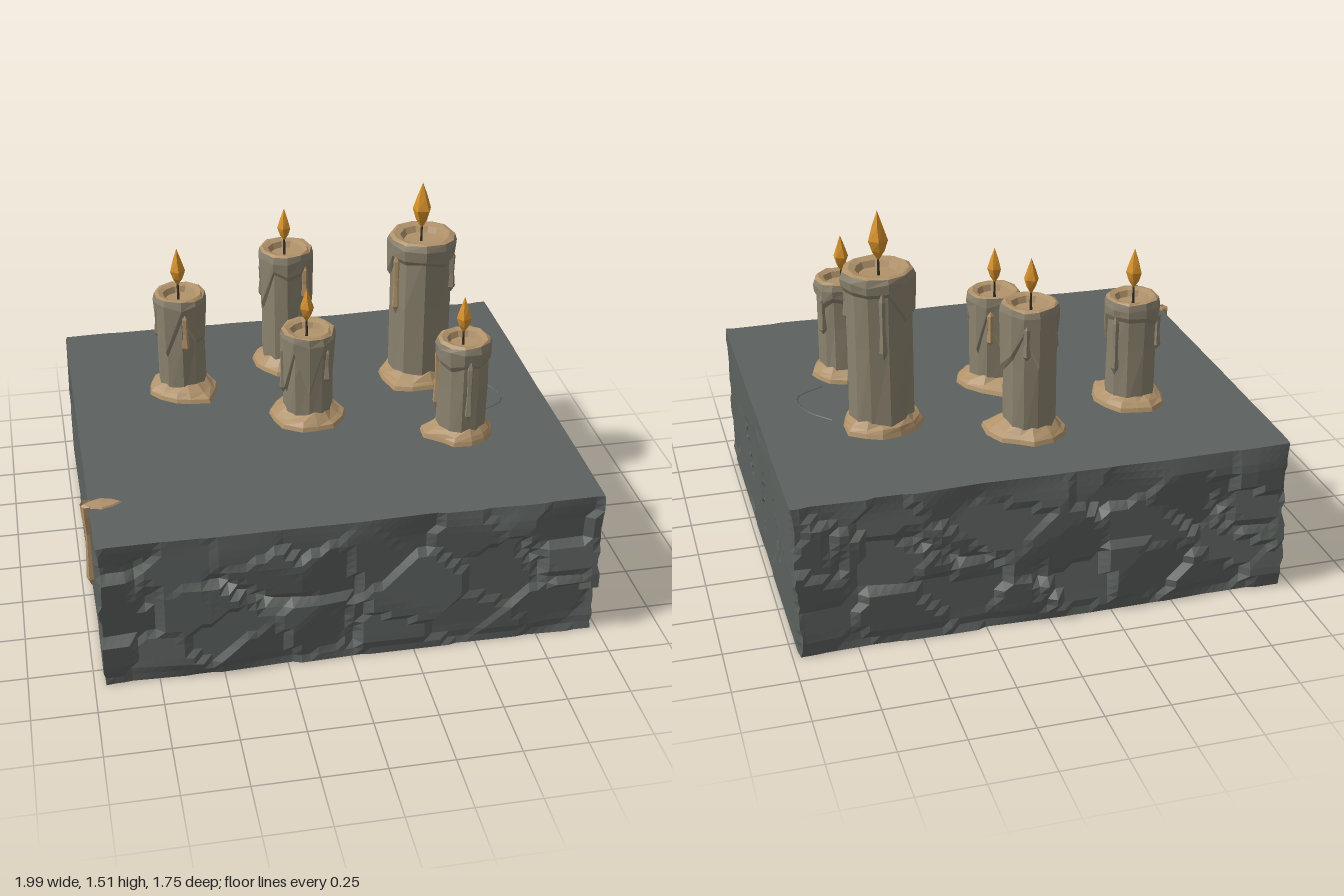
import * as THREE from 'three';

const mat = (name, color, side = THREE.FrontSide) =>
  Object.assign(new THREE.MeshStandardMaterial({ color, flatShading: true, side }), { name });

// repeatable pseudo-random value in 0..1
const hash = (a, b = 0, c = 0) => {
  const s = Math.sin(a * 127.1 + b * 311.7 + c * 74.7) * 43758.5453;
  return s - Math.floor(s);
};

// closed skin through rows of n points; point(i, j) returns [angle offset, radius, y]
function loft(n, rows, point) {
  const pos = [], idx = [];
  for (let j = 0; j < rows; j++) for (let i = 0; i < n; i++) {
    const [da, r, y] = point(i, j);
    const a = (i / n) * Math.PI * 2 + da;
    pos.push(Math.cos(a) * r, y, Math.sin(a) * r);
    if (j === rows - 1) continue;
    const k = (i + 1) % n, p = j * n + i, q = j * n + k;
    idx.push(p, p + n, q, q, p + n, q + n);
  }
  const g = new THREE.BufferGeometry();
  g.setAttribute('position', new THREE.Float32BufferAttribute(pos, 3));
  g.setIndex(idx);
  g.computeVertexNormals();
  return g;
}

// broken rock relief: every irregular cell is its own tilted plane
function chipped(u, v, seed, size) {
  let best = 9, h = 0;
  const cu = Math.floor(u / size), cv = Math.floor(v / size);
  for (let i = cu - 1; i <= cu + 1; i++) for (let j = cv - 1; j <= cv + 1; j++) {
    const du = u - (i + hash(i, j, seed)) * size, dv = v - (j + hash(j, i, seed + 3)) * size;
    const d = du * du + dv * dv * 1.4;
    if (d < best) {
      best = d;
      h = (hash(i, j, seed + 5) - 0.5) * 0.03 + du * (hash(i, j, seed + 7) - 0.5) * 0.3
        + dv * (hash(i, j, seed + 9) - 0.5) * 0.3;
    }
  }
  return h;
}

// distance from (u, v) to a segment
function segDist(u, v, [a, b, c, d]) {
  const t = THREE.MathUtils.clamp(((u - a) * (c - a) + (v - b) * (d - b)) / ((c - a) ** 2 + (d - b) ** 2), 0, 1);
  return Math.hypot(u - a - t * (c - a), v - b - t * (d - b));
}

function stoneGeometry() {
  const H = 0.63, hx = 0.975, hz = 0.85;
  const g = new THREE.BoxGeometry(hx * 2, H, hz * 2, 56, 20, 48);
  const p = g.attributes.position;
  // chisel scars on the smooth sides: z, y to z, y
  const scars = [[0.27, 0.44, 0.14, 0.27], [-0.46, 0.44, -0.52, 0.26], [-0.17, 0.4, -0.11, 0.24],
    [-0.11, 0.24, -0.11, 0.17], [0.38, 0.08, 0.16, 0.09]];
  // chisel scars on the rough faces: x, y to x, y
  const gouges = [[-0.55, 0.45, -0.35, 0.32], [-0.35, 0.32, -0.18, 0.3], [-0.05, 0.26, 0.0, 0.06],
    [0.65, 0.45, 0.75, 0.3], [0.75, 0.28, 0.9, 0.27], [-0.85, 0.55, -0.8, 0.35]];
  for (let i = 0; i < p.count; i++) {
    const x = p.getX(i), y = p.getY(i) + H / 2, z = p.getZ(i);
    const sx = Math.sign(x), sz = Math.sign(z);
    const fade = Math.min(1, 0.3 + Math.min(y, H - y) * 9);
    let nx = x, nz = z;
    if (Math.abs(z) > hz - 1e-4) {
      let d = 0.004 + chipped(x, y, sz > 0 ? 11 : 29, 0.24) * 1.1;
      for (const s of gouges) d -= Math.max(0, 0.025 - segDist(x * sz, y, s));
      nz += sz * THREE.MathUtils.clamp(d, -0.04, 0.025) * fade;
    }
    if (Math.abs(x) > hx - 1e-4) {
      let d = chipped(z, y, sx > 0 ? 41 : 53, 0.5) * 0.12;
      for (const s of scars) d -= Math.max(0, 0.02 - segDist(z * sx, y, s));
      if (Math.abs(z) > hz - 1e-4) d -= hash(Math.round(y * 12), sx, sz) * 0.02;
      nx += sx * d * fade;
    }
    // slight narrowing toward the ground
    const k = y < 0.06 ? 0.992 : 1;
    p.setXYZ(i, nx * k + 0.01, y, nz * k);
  }
  g.computeVertexNormals();
  return g;
}

export function createModel() {
  const root = new THREE.Group();
  const stone = mat('stone grey', 0x5c615e);
  const wax = mat('candle wax', 0x8c836f, THREE.DoubleSide);
  const melted = mat('melted wax', 0xb0926a, THREE.DoubleSide);
  const fire = mat('flame orange', 0xd8922b);
  const char = mat('wick', 0x3a3128);
  const add = (parent, name, geo, m) => {
    const mesh = new THREE.Mesh(geo, m);
    mesh.name = name;
    parent.add(mesh);
    return mesh;
  };

  add(root, 'stoneSlab', stoneGeometry(), stone);

  // hairline crack on the slab top
  const crack = new THREE.CatmullRomCurve3([[0.7, -0.18], [0.78, -0.08], [0.8, 0.06], [0.68, 0.14]]
    .map(([x, z]) => new THREE.Vector3(x, 0.629, z)));
  add(root, 'topCrack', new THREE.TubeGeometry(crack, 10, 0.004, 4), stone);

  const N = 11, base = 0.625;
  // x, z, body radius, top y, flame bottom, flame height, puddle radius, lobe angle
  const candles = [
    [-0.5, -0.3, 0.1, 1.08, 1.11, 0.165, 0.15, 1.0],
    [-0.025, -0.465, 0.104, 1.17, 1.2, 0.145, 0.155, 0.4],
    [0.515, -0.245, 0.13, 1.285, 1.31, 0.2, 0.168, 2.2],
    [-0.02, 0.025, 0.102, 1.03, 1.06, 0.15, 0.155, 4.6],
    [0.565, 0.27, 0.1, 1.06, 1.08, 0.155, 0.135, 3.14],
  ];
  candles.forEach(([x, z, r, top, fy, fh, pr, lobe], c) => {
    const g = new THREE.Group();
    g.name = 'candle' + (c + 1);
    g.position.set(x, base, z);
    root.add(g);
    const h = top - base;
    const wob = (i, s) => hash(i, c + 1, s) - 0.5;

    // shaft
    add(g, 'candleBody', loft(N, 3, (i, j) =>
      [wob(i, 1) * 0.2, r * (1 + wob(i, 2 + j) * 0.08), [0, h * 0.55, h - 0.03][j]]), wax);

    // overflowing skin round the top with ragged lower edge
    add(g, 'waxCollar', loft(N, 4, (i, j) => {
      const long = hash(i, c, 21) > 0.68 ? 0.1 + hash(i, c, 22) * 0.12 : 0.02;
      const low = h - 0.06 - long - hash(i, c, 23) * 0.04;
      return [wob(i, 1) * 0.2, r * [0.98, 1.1, 1.13 + wob(i, 25) * 0.06, 1.06][j],
        [low, low + 0.025, h - 0.03 + wob(i, 24) * 0.02, h - 0.004 + wob(i, 26) * 0.012][j]];
    }), wax);

    // rim and sunken pool
    add(g, 'meltedRim', loft(N, 5, (i, j) =>
      [wob(i, 1) * 0.2, r * [1.06, 0.92, 0.7, 0.6, 0.001][j] * (j && j < 4 ? 1 + wob(i, 31) * 0.12 : 1),
        h + [-0.004 + wob(i, 26) * 0.012, 0.002, -0.006, -0.03, -0.034][j]]), melted);

    // spread wax at the foot
    add(g, 'waxPuddle', loft(N + 2, 4, (i, j) => {
      const a = (i / (N + 2)) * Math.PI * 2;
      const out = pr * (0.98 + wob(i, 41) * 0.16) + 0.035 * Math.max(0, Math.cos(a - lobe)) ** 8;
      return [wob(i, 42) * 0.15, [out, out * 0.95, (out + r) / 2, r * 0.94][j],
        [0, 0.022, 0.036 + wob(i, 43) * 0.012, 0.06 + wob(i, 44) * 0.02][j]];
    }), melted);

    // runs of wax down the shaft
    for (let k = 0; k < 3; k++) {
      const a = lobe + 0.5 + k * 2.1, len = 0.14 + hash(k, c, 51) * 0.16;
      const run = add(g, 'waxRun', loft(5, 5, (i, j) =>
        [0, [0.001, 0.017, 0.011, 0.014, 0.001][j], len * [0, 0.12, 0.45, 0.85, 1][j]]), k ? wax : melted);
      run.position.set(Math.cos(a) * r * 1.03, h - 0.05 - len, Math.sin(a) * r * 1.03);
    }

    // wick and flame
    const wick = add(g, 'wick', new THREE.CylinderGeometry(0.004, 0.006, fy - top + 0.06, 5), char);
    wick.position.set(-0.005, (fy + top) / 2 - base - 0.005, 0);
    const flame = add(g, 'flame', loft(5, 5, (i, j) =>
      [c * 0.4 + j * 0.12, fh * [0.005, 0.13, 0.2, 0.11, 0.001][j], fh * [0, 0.2, 0.42, 0.7, 1][j]]), fire);
    flame.position.set(-0.005, fy - base, 0);
  });

  // wax spilled over the slab edge: strip with thickness, swelling and thinning
  const spill = new THREE.Group();
  spill.name = 'edgeSpill';
  root.add(spill);
  const flat = add(spill, 'spillTop', loft(8, 3, (i, j) =>
    [0, [1, 0.85, 0.001][j] * (1 + (hash(i, 61) - 0.5) * 0.25), [0, 0.008, 0.014][j]]), melted);
  flat.scale.set(0.078, 1, 0.035);
  flat.position.set(-0.915, 0.628, 0.55);
  const run = add(spill, 'spillRun', loft(6, 6, (i, j) =>
    [0, [0.001, 0.026, 0.02, 0.016, 0.03, 0.034][j], [0, 0.04, 0.14, 0.24, 0.33, 0.375][j]]), melted);
  run.scale.x = 0.7;
  run.position.set(-0.973, 0.262, 0.55);

  return root;
}
